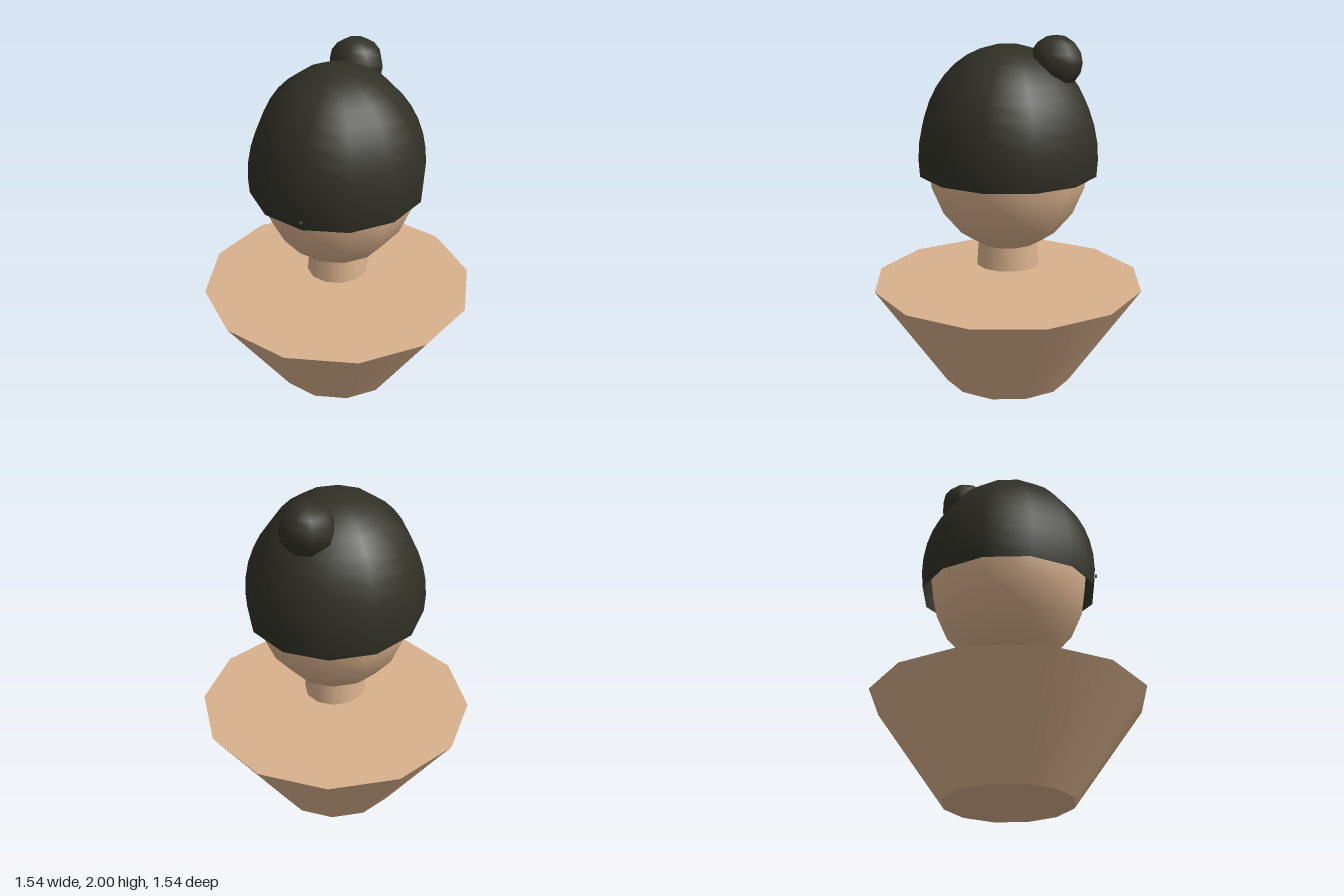
import * as THREE from 'three';

export function createModel() {
  const skin = new THREE.MeshStandardMaterial({ name: 'skin', color: 0xd9b18d });
  const knit = new THREE.MeshStandardMaterial({ name: 'dark olive knit', color: 0x303026, side: THREE.DoubleSide });
  const badgeMat = new THREE.MeshStandardMaterial({ name: 'grey badge', color: 0x5c5f52 });

  const model = new THREE.Group();
  const add = (name, geometry, material, position, scale = [1, 1, 1]) => {
    const mesh = new THREE.Mesh(geometry, material);
    mesh.name = name;
    mesh.position.set(...position);
    mesh.scale.set(...scale);
    model.add(mesh);
    return mesh;
  };

  // Tapered twelve-sided torso
  add('torso', new THREE.CylinderGeometry(0.77, 0.362, 0.585, 12), skin, [0, 0.2925, 0]);

  // Floating neck, slightly deeper than wide
  add('neck', new THREE.CylinderGeometry(0.155, 0.172, 0.21, 12), skin, [0, 0.798, 0], [1, 1, 1.05]);

  // Egg-shaped head
  add('head', new THREE.SphereGeometry(1, 12, 10), skin, [0, 1.33, 0], [0.45, 0.545, 0.458]);

  // Hat: open-bottomed dome
  const dome = new THREE.SphereGeometry(1, 12, 11, 0, Math.PI * 2, 0, Math.acos(-0.1 / 0.61));
  add('hat', dome, knit, [0, 1.33, 0], [0.491, 0.61, 0.508]);

  // Bobble towards the back of the hat
  add('bobble', new THREE.SphereGeometry(1, 8, 8), knit, [0, 1.855, -0.268], [0.154, 0.145, 0.146]);

  // Tiny three-sided badge pointing down on the hat front
  const badge = new THREE.CylinderGeometry(0.012, 0.012, 0.009, 3);
  badge.rotateX(Math.PI / 2);
  add('badge', badge, badgeMat, [0, 1.281, 0.513]);

  return model;
}
